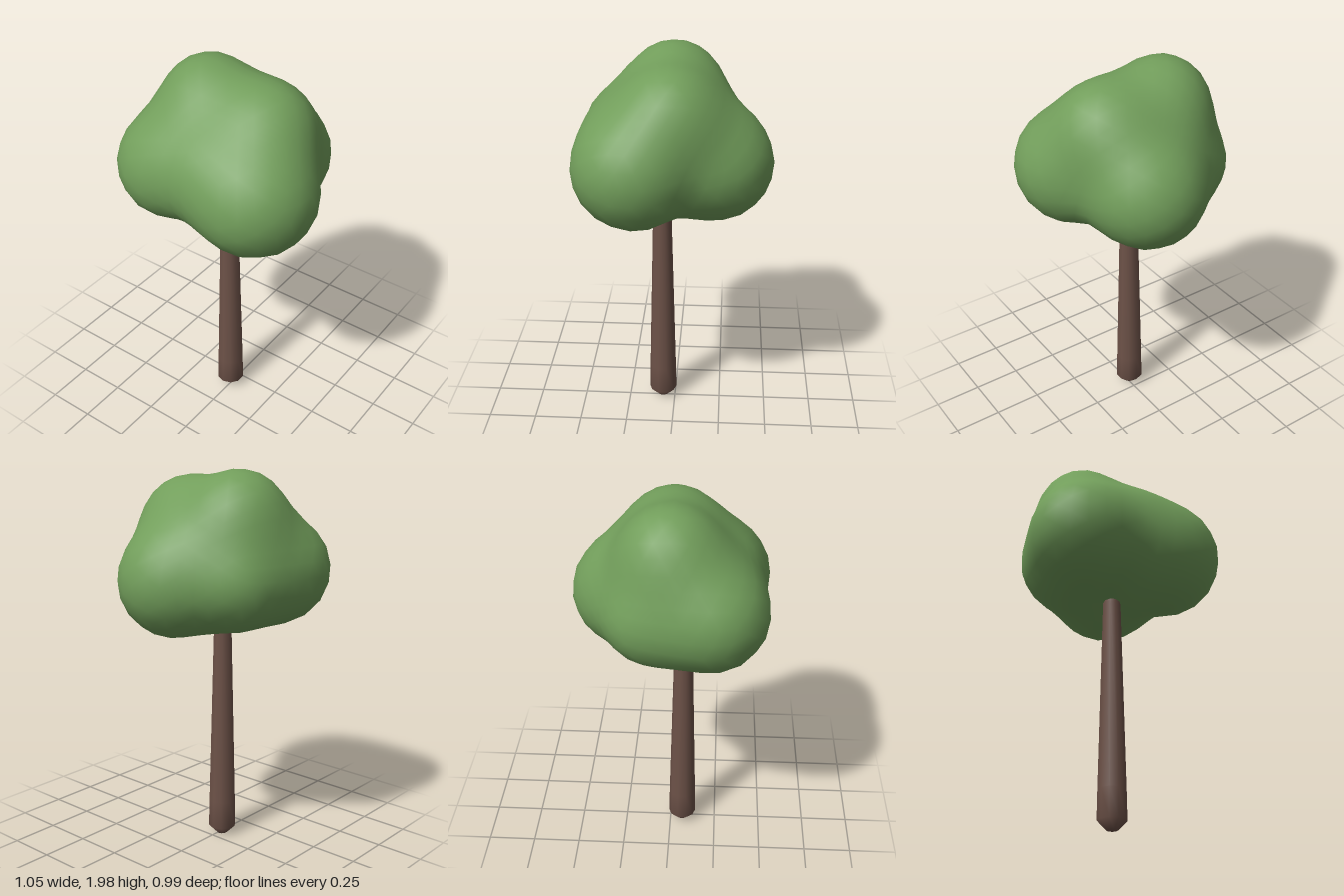
import * as THREE from 'three';
import { mergeVertices } from 'three/addons/utils/BufferGeometryUtils.js';

// Foliage lobes: x, y, z, radius
const LOBES = [
  [0, 1.46, 0.02, 0.22],       // core
  [-0.24, 1.48, 0.205, 0.28],  // lower front right
  [0.25, 1.46, 0.165, 0.27],   // lower front left
  [0.2, 1.46, 0.22, 0.255],    // lower front left, inner
  [0.05, 1.435, -0.22, 0.26],  // lower back
  [0.09, 1.45, -0.18, 0.245],  // lower back, inner
  [-0.22, 1.45, -0.07, 0.24],  // lower back right
  [0, 1.55, 0.19, 0.24],       // front fill
  [0.02, 1.56, -0.09, 0.23],   // back fill
  [-0.16, 1.735, 0.01, 0.25],  // top right
  [0.165, 1.7, 0.01, 0.237],   // top left
];

// Signed distance to the softly blended lobes
function foliageDistance(p) {
  const k = 0.15;
  let d = Infinity;
  for (const [x, y, z, r] of LOBES) {
    const e = Math.hypot(p.x - x, p.y - y, p.z - z) - r;
    if (d === Infinity) { d = e; continue; }
    const h = Math.max(k - Math.abs(d - e), 0) / k;
    d = Math.min(d, e) - h * h * k * 0.25;
  }
  return d;
}

// Ball whose vertices are pulled inwards onto the blended surface
function foliageGeometry() {
  let geo = new THREE.IcosahedronGeometry(1, 6);
  geo.deleteAttribute('normal');
  geo.deleteAttribute('uv');
  geo = mergeVertices(geo, 1e-4);
  const centre = new THREE.Vector3(0, 1.55, 0.02);
  const pos = geo.attributes.position;
  const dir = new THREE.Vector3();
  const p = new THREE.Vector3();
  for (let i = 0; i < pos.count; i++) {
    dir.fromBufferAttribute(pos, i).normalize();
    let t = 0.9;
    for (let n = 0; n < 60; n++) {
      p.copy(centre).addScaledVector(dir, t);
      t -= foliageDistance(p) * 0.8;
    }
    p.copy(centre).addScaledVector(dir, t);
    pos.setXYZ(i, p.x, p.y, p.z);
  }
  geo.computeVertexNormals();
  return geo;
}

export function createModel() {
  const leafGreen = new THREE.MeshStandardMaterial({ color: 0x729e5b });
  leafGreen.name = 'leafGreen';
  const barkBrown = new THREE.MeshStandardMaterial({ color: 0x6d5248 });
  barkBrown.name = 'barkBrown';

  const tree = new THREE.Group();
  tree.name = 'tree';

  // Tapered trunk with a blunt pointed foot
  const profile = [[0, 0], [0.028, 0.003], [0.074, 0.05], [0.071, 0.2], [0.046, 1.2], [0.043, 1.35], [0, 1.38]]
    .map(([r, y]) => new THREE.Vector2(r, y));
  const trunk = new THREE.Mesh(new THREE.LatheGeometry(profile, 10), barkBrown);
  trunk.name = 'trunk';
  trunk.position.set(-0.013, 0, 0.066);
  tree.add(trunk);

  // Lumpy crown
  const foliage = new THREE.Mesh(foliageGeometry(), leafGreen);
  foliage.name = 'foliage';
  tree.add(foliage);

  return tree;
}
